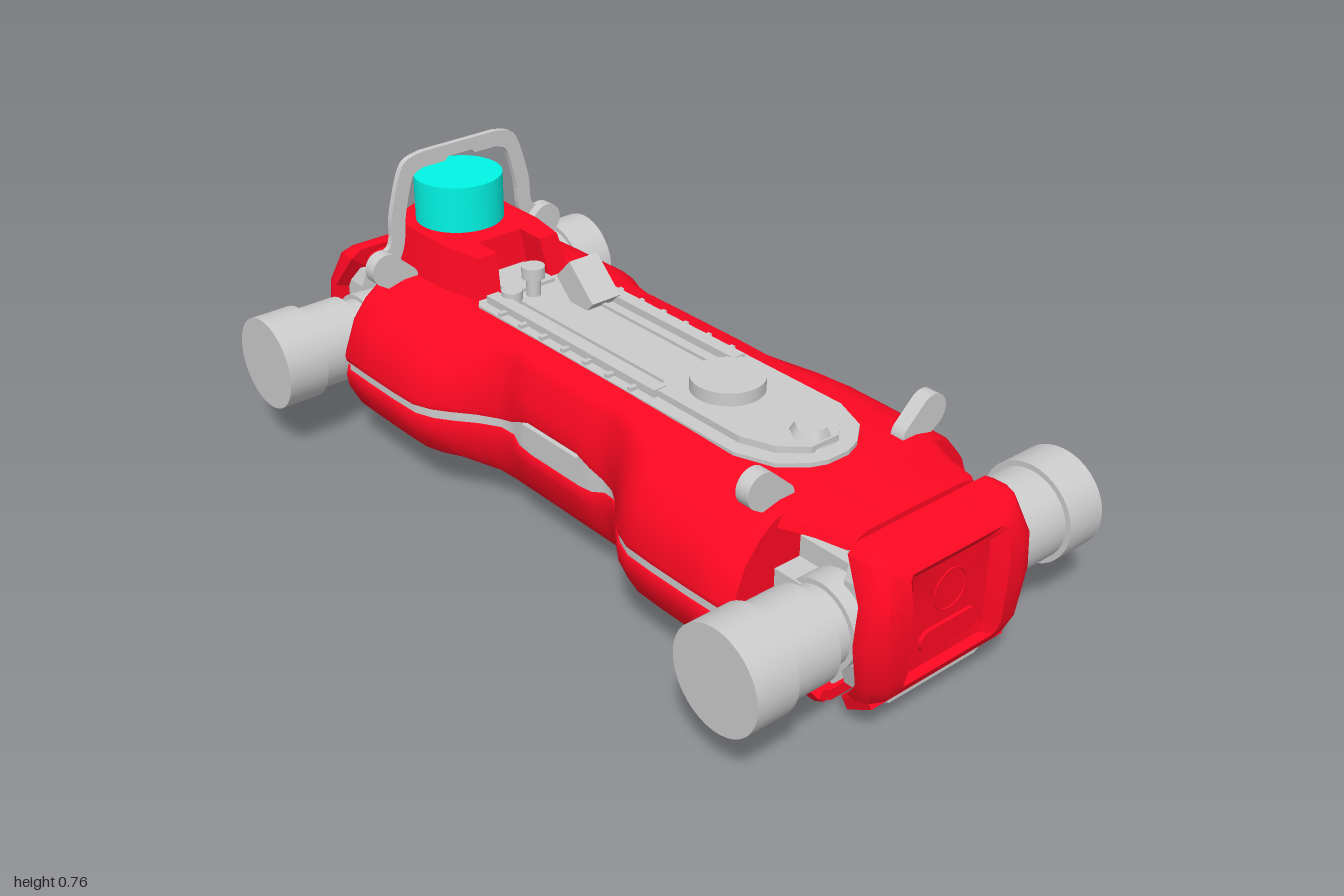
import * as THREE from 'three';
import { toCreasedNormals } from 'three/addons/utils/BufferGeometryUtils.js';

const grey = new THREE.MeshStandardMaterial({ color: 0xcccccc });
const red = new THREE.MeshStandardMaterial({ color: 0xff0822 });
const teal = new THREE.MeshStandardMaterial({ color: 0x00f5e4 });

function add(parent, name, geo, mat, x = 0, y = 0, z = 0) {
  const m = new THREE.Mesh(geo, mat);
  m.name = name;
  m.position.set(x, y, z);
  parent.add(m);
  return m;
}
const box = (w, h, d) => new THREE.BoxGeometry(w, h, d);
const cyl = (r, h, n = 32, top = r) => new THREE.CylinderGeometry(top, r, h, n);

// Skin rings of [x, y, z] points, ordered along +x, with both ends closed
function loft(rings, crease = 0.5) {
  const n = rings[0].length, pos = rings.flat(2), idx = [];
  for (let i = 0; i < rings.length - 1; i++) {
    for (let j = 0; j < n; j++) {
      const a = i * n + j, b = i * n + (j + 1) % n;
      idx.push(a, b, b + n, a, b + n, a + n);
    }
  }
  for (const end of [0, rings.length - 1]) {
    const ring = rings[end], c = pos.length / 3;
    for (let k = 0; k < 3; k++) pos.push(ring.reduce((s, p) => s + p[k], 0) / n);
    for (let j = 0; j < n; j++) {
      const a = end * n + j, b = end * n + (j + 1) % n;
      if (end === 0) idx.push(c, b, a); else idx.push(c, a, b);
    }
  }
  const g = new THREE.BufferGeometry();
  g.setAttribute('position', new THREE.Float32BufferAttribute(pos, 3));
  g.setIndex(idx);
  return toCreasedNormals(g, crease);
}

// Half section of [z, y] points, top to bottom, mirrored into a full ring at x
const ringAt = (x, half) => [
  ...half.map(([z, y]) => [x, y, z]),
  ...half.slice().reverse().map(([z, y]) => [x, y, -z]),
];
const mirrorPts = (half) => [...half, ...half.slice().reverse().map(([a, b]) => [a, -b])];
const flip = (pts) => pts.slice().reverse().map(([z, y]) => [-z, y]);
const toShape = (pts) => new THREE.Shape(pts.map(([a, b]) => new THREE.Vector2(a, b)));

// Horizontal slab from an outline in x and z
function slab(shape, y0, y1) {
  const g = new THREE.ExtrudeGeometry(shape, { depth: y1 - y0, bevelEnabled: false });
  return g.rotateX(-Math.PI / 2).translate(0, y0, 0);
}
// Plate drawn in z and y, centred on x = 0
function plate(shape, t) {
  const g = new THREE.ExtrudeGeometry(shape, { depth: t, bevelEnabled: false, curveSegments: 12 });
  return g.translate(0, 0, -t / 2).rotateY(Math.PI / 2);
}

function buildBody(root) {
  // [x, half width, top, bottom, upper seam edge, lower seam edge]
  const half = [
    [0.09, 0.256, 0.465, 0.07, 0.312, 0.225], [0.135, 0.255, 0.465, 0.07, 0.295, 0.23],
    [0.17, 0.245, 0.465, 0.07, 0.276, 0.24], [0.21, 0.252, 0.464, 0.07, 0.27, 0.245],
    [0.26, 0.282, 0.464, 0.07, 0.27, 0.245], [0.31, 0.322, 0.463, 0.07, 0.27, 0.245],
    [0.35, 0.35, 0.463, 0.07, 0.27, 0.245], [0.4, 0.369, 0.462, 0.068, 0.27, 0.245],
    [0.48, 0.372, 0.46, 0.055, 0.27, 0.245], [0.6, 0.372, 0.458, 0.032, 0.27, 0.245],
    [0.69, 0.37, 0.456, 0.018, 0.27, 0.245], [0.715, 0.352, 0.452, 0.016, 0.27, 0.245],
  ];
  const stations = [...half.map(([x, ...r]) => [-x, ...r]).reverse(), ...half];
  const tz = 0.2, bz = 0.185;
  const out = (base, w, f) => base + (w - base) * f;

  add(root, 'upperShell', loft(stations.map(([x, w, t, , u]) => ringAt(x, [
    [0, t], [tz, t], [out(tz, w, 0.3), t - 0.012], [out(tz, w, 0.55), t - 0.04],
    [out(tz, w, 0.8), 0.365], [w, u + 0.015], [w - 0.004, u], [0, u],
  ])), 0.75), red);
  add(root, 'lowerShell', loft(stations.map(([x, w, , b, , l]) => ringAt(x, [
    [0, l], [w - 0.004, l], [w, l - 0.012], [out(bz, w, 0.97), 0.2],
    [out(bz, w, 0.8), 0.14], [bz + 0.015, b + 0.012], [bz, b], [0, b],
  ])), 0.75), red);
  add(root, 'seamStrip', loft(stations.map(([x, w, , , u, l]) => ringAt(x * 0.995, [
    [0, u + 0.01], [w - 0.01, u + 0.01], [w - 0.01, l - 0.01], [0, l - 0.01],
  ]))), grey);
  for (const s of [1, -1]) {
    add(root, 'sideConnector', box(0.2, 0.055, 0.04), grey, -0.005, 0.278, s * 0.238);
    add(root, 'sideConnectorRib', box(0.16, 0.03, 0.015), grey, -0.005, 0.27, s * 0.25);
  }
}

// One end of the robot, built toward +x
function buildEnd() {
  const end = new THREE.Group();
  end.name = 'endModule';
  // Neck cover reaching out from the body
  add(end, 'neckCover', loft([[0.69, 0.25], [0.74, 0.225], [0.79, 0.205], [0.855, 0.19], [0.868, 0.18]].map(
    ([x, w], i) => ringAt(x, [[0, 0.456 - i * 0.001], [w - 0.04, 0.455 - i * 0.001], [w - 0.01, 0.442], [w, 0.42], [0, 0.42]]))), red);

  // Foot: floor lip between two raised cheeks, and a round port in the belly
  add(end, 'footFloor', slab(toShape(mirrorPts([[0.74, 0.185], [0.79, 0.18], [0.815, 0.16]])), 0.012, 0.04), red);
  for (const s of [1, -1]) {
    add(end, 'footCheek', loft([[0.69, 0.26, 0.15, 0.016], [0.74, 0.23, 0.12, 0.01], [0.79, 0.2, 0.075, 0.005], [0.815, 0.185, 0.05, 0.018]].map(([x, w, t, b]) => {
      const ring = [[0.14, t - 0.02], [w, t], [w + 0.01, t - 0.02], [0.192, b + 0.012], [0.18, b], [0.14, b + 0.004]];
      return (s > 0 ? ring : ring.reverse()).map(([z, y]) => [x, y, s * z]);
    })), red);
  }
  add(end, 'bellyPort', cyl(0.1, 0.02, 36), grey, 0.64, 0.033, 0).rotation.z = -0.17;

  // Hip core and the plate behind the bumper cap
  add(end, 'hipCore', box(0.2, 0.24, 0.34), grey, 0.79, 0.255, 0);
  add(end, 'hipFloor', box(0.1, 0.1, 0.3), grey, 0.755, 0.09, 0);
  add(end, 'hipPost', box(0.06, 0.08, 0.28), grey, 0.82, 0.39, 0);
  const backing = [[0.13, 0.07], [0.18, 0.1], [0.2, 0.17], [0.2, 0.36], [0.185, 0.4]];
  add(end, 'capBacking', plate(toShape([...backing, ...flip(backing)]), 0.08), grey, 0.907, 0, 0);

  // Bumper cap with a framed recess, rounded back at its top and bottom
  const outline = [[0, 0.455], [0.185, 0.455], [0.215, 0.437], [0.236, 0.35], [0.245, 0.26], [0.228, 0.15], [0.205, 0.1], [0.18, 0.085], [0, 0.085]];
  const frame = [[0, 0.405], [0.135, 0.405], [0.145, 0.395], [0.145, 0.34], [0.145, 0.26], [0.145, 0.17], [0.145, 0.145], [0.135, 0.135], [0, 0.135]];
  const floor = frame.map(([z, y]) => [z * 0.79, 0.265 + (y - 0.27) * 0.86]);
  const mix = (k) => outline.map(([z, y], i) => [z + (frame[i][0] - z) * k, y + (frame[i][1] - y) * k]);
  const sweep = (y) => 0.05 * (Math.max(0, y - 0.35) / 0.1) ** 2 + 0.035 * (Math.max(0, 0.2 - y) / 0.11) ** 1.5;
  const capRing = (x, pts) => ringAt(0, pts).map(([, y, z]) => [x - sweep(y), y, z]);
  const back = ringAt(0, outline).map(([, y, z]) => [y > 0.42 ? 0.885 : y < 0.11 ? 0.9 : 0.94, y, z]);
  add(end, 'bumperCap', loft([
    back, capRing(0.957, mix(0)), capRing(0.98, mix(0.1)), capRing(0.995, mix(0.35)),
    capRing(1, mix(0.6)), capRing(1, mix(1)), ringAt(0.97, floor),
  ], 0.5), red);
  add(end, 'panelRing', new THREE.TorusGeometry(0.047, 0.003, 6, 32).rotateY(Math.PI / 2), red, 0.97, 0.305, 0);
  const slot = new THREE.Shape();
  slot.absarc(0.06, 0, 0.026, -Math.PI / 2, Math.PI / 2).absarc(-0.06, 0, 0.026, Math.PI / 2, Math.PI * 1.5);
  add(end, 'panelSlot', plate(slot, 0.012), red, 0.973, 0.208, 0);

  // Slanted chin under the cap, with a slim slot near its top
  const chin = toShape([[-0.165, -0.06], [0.165, -0.06], [0.18, -0.04], [0.2, 0.06], [-0.2, 0.06], [-0.18, -0.04]]);
  chin.holes.push(new THREE.Path().absellipse(0, 0.018, 0.115, 0.014, 0, Math.PI * 2));
  add(end, 'chin', plate(chin, 0.026), red, 0.905, 0.072, 0).rotation.z = -0.95;

  // Stepped hip motors: [radius, inner z, outer z]
  for (const s of [1, -1]) {
    const motor = new THREE.Group();
    motor.name = 'hipMotor';
    for (const [r, a, b] of [[0.12, 0.405, 0.513], [0.107, 0.28, 0.405], [0.088, 0.235, 0.28], [0.1, 0.15, 0.235]]) {
      add(motor, 'motorStage', cyl(r, b - a, 36).rotateX(Math.PI / 2), grey, 0.838, 0.253, s * (a + b) / 2);
    }
    add(motor, 'motorBracket', box(0.12, 0.15, 0.09), grey, 0.775, 0.25, s * 0.195);
    end.add(motor);
  }
  return end;
}

function buildDeck(root) {
  add(root, 'deckPlate', slab(toShape(mirrorPts([[-0.42, 0.145], [-0.4, 0.16], [0.5, 0.16], [0.59, 0.125], [0.635, 0.07], [0.65, 0.03]])), 0.43, 0.468), grey);
  add(root, 'deckTongue', box(0.14, 0.05, 0.13), grey, -0.46, 0.452, 0);
  for (const s of [1, -1]) {
    add(root, 'deckRail', box(0.62, 0.022, 0.035), grey, -0.09, 0.476, s * 0.118);
    add(root, 'deckRidge', box(0.56, 0.01, 0.012), grey, -0.08, 0.471, s * 0.07);
    for (let i = 0; i < 7; i++) add(root, 'railClip', box(0.012, 0.01, 0.02), grey, -0.32 + i * 0.08, 0.472, s * 0.147);
  }
  add(root, 'deckStep', slab(toShape(mirrorPts([[0.2, 0.125], [0.48, 0.125], [0.56, 0.095], [0.61, 0.04]])), 0.465, 0.484), grey);
  add(root, 'roundCover', cyl(0.085, 0.035, 40), grey, 0.31, 0.498, 0);
  add(root, 'hexKnob', cyl(0.054, 0.035, 6, 0.036), grey, 0.565, 0.486, 0);
  add(root, 'buttonStem', cyl(0.018, 0.06, 20), grey, -0.365, 0.495, 0.02);
  add(root, 'buttonHead', cyl(0.029, 0.03, 24), grey, -0.365, 0.53, 0.02);
  add(root, 'smallButton', cyl(0.026, 0.03, 24), grey, -0.365, 0.485, 0.085);
  add(root, 'tiltedBox', box(0.12, 0.075, 0.085), grey, -0.258, 0.505, -0.065).rotation.z = -0.75;
}

function buildTurret(root) {
  // Notched block, flared toward its foot
  const pts = [[-0.835, 0.05], [-0.815, 0.095], [-0.78, 0.125], [-0.73, 0.14], [-0.56, 0.14], [-0.45, 0.12], [-0.45, 0.065], [-0.53, 0.065]];
  const g = slab(toShape(mirrorPts(pts)), 0.44, 0.562);
  const p = g.attributes.position;
  for (let i = 0; i < p.count; i++) {
    if (p.getY(i) < 0.5) p.setXYZ(i, -0.64 + (p.getX(i) + 0.64) * 1.16, p.getY(i), p.getZ(i) * 1.18);
  }
  add(root, 'turretBase', toCreasedNormals(g, 0.6), red);
  add(root, 'sensorDome', cyl(0.112, 0.122, 40), teal, -0.697, 0.62, 0);
}

function buildHandle(root) {
  const curve = (pts) => new THREE.SplineCurve(pts.map(([a, b]) => new THREE.Vector2(a, b))).getPoints(24).map((v) => [v.x, v.y]);
  const outer = curve([[0.285, 0.5], [0.255, 0.525], [0.224, 0.537], [0.214, 0.565], [0.212, 0.61], [0.198, 0.67], [0.178, 0.73], [0.155, 0.756], [0.11, 0.766]]);
  const inner = curve([[0.11, 0.725], [0.135, 0.715], [0.15, 0.69], [0.17, 0.61], [0.178, 0.54], [0.2, 0.49], [0.24, 0.455]]);
  const pts = [...outer, ...flip(outer), ...flip(inner), [-0.045, 0.725], [-0.035, 0.735], [0.035, 0.735], [0.045, 0.725], ...inner];
  add(root, 'handle', plate(toShape(pts), 0.016), grey, -0.692, 0, 0);
  // Rounded lugs: four, two of them carrying the handle
  for (const x of [-0.677, 0.665]) for (const s of [1, -1]) {
    const lug = new THREE.Shape();
    lug.absarc(0.033, 0, 0.042, -Math.PI / 2, Math.PI / 2).absarc(-0.033, 0, 0.036, Math.PI / 2, Math.PI * 1.5);
    const m = add(root, 'handleLug', plate(lug, 0.036), grey, x, 0.474, s * 0.222);
    m.rotation.x = -s * 0.65 + (s > 0 ? Math.PI : 0);
  }
}

export function createModel() {
  const root = new THREE.Group();
  root.name = 'robotBase';
  buildBody(root);
  for (const turn of [0, Math.PI]) {
    const end = buildEnd();
    end.rotation.y = turn;
    root.add(end);
  }
  buildDeck(root);
  buildTurret(root);
  buildHandle(root);
  return root;
}
